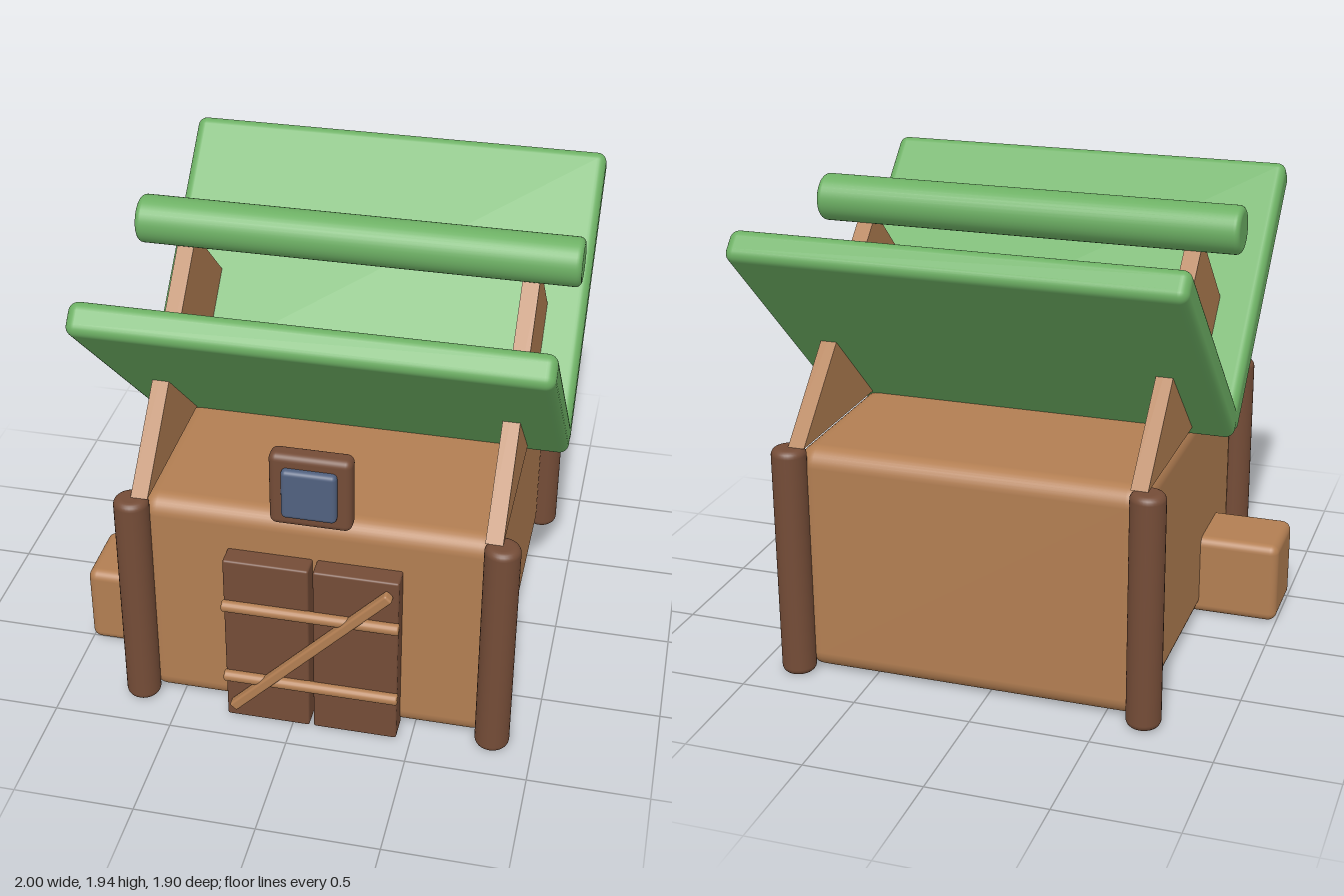
import * as THREE from 'three';
import { RoundedBoxGeometry } from 'three/addons/geometries/RoundedBoxGeometry.js';

const material = (name, color) => {
  const m = new THREE.MeshStandardMaterial({ color });
  m.name = name;
  return m;
};

// Cylinder along y with softly rounded rims
function rodGeometry(radius, length, bevel, sides = 32) {
  const pts = [new THREE.Vector2(0, -length / 2), new THREE.Vector2((radius - bevel) * 0.95, -length / 2)];
  for (const end of [-1, 1]) {
    for (let i = 0; i <= 5; i++) {
      const a = (end < 0 ? i - 5 : i) / 5 * Math.PI / 2;
      pts.push(new THREE.Vector2(
        radius - bevel + bevel * Math.cos(a),
        end * (length / 2 - bevel) + bevel * Math.sin(a)));
    }
  }
  pts.push(new THREE.Vector2((radius - bevel) * 0.95, length / 2), new THREE.Vector2(0, length / 2));
  return new THREE.LatheGeometry(pts, sides);
}

export function createModel() {
  const model = new THREE.Group();
  model.name = 'barn';
  const tan = material('tan wood', 0xb27e52);
  const brown = material('dark wood', 0x744c37);
  const green = material('green roof', 0x6db064);
  const blue = material('window blue', 0x51617f);
  const CX = 0.08; // the house sits a little to its left of the side crate

  const add = (name, geometry, mat, x, y, z) => {
    const mesh = new THREE.Mesh(geometry, mat);
    mesh.name = name;
    mesh.position.set(x, y, z);
    model.add(mesh);
    return mesh;
  };
  // Rounded box given by its lower and upper limits
  const block = (name, mat, [x0, x1], [y0, y1], [z0, z1], r) =>
    add(name, new RoundedBoxGeometry(x1 - x0, y1 - y0, z1 - z0, 4, r), mat,
      (x0 + x1) / 2, (y0 + y1) / 2, (z0 + z1) / 2);

  // Walls and side crate
  block('walls', tan, [-0.655, 0.815], [0.005, 1.0], [-0.795, 0.795], 0.08);
  block('sideCrate', tan, [-1, -0.6], [0.005, 0.37], [0.2, 0.53], 0.04);

  // Corner posts
  const post = rodGeometry(0.072, 1.01, 0.03);
  for (const x of [-0.75, 0.75])
    for (const z of [-0.807, 0.807]) add('cornerPost', post, brown, CX + x, 0.505, z);

  // Triangular gable plates at both ends
  const triangle = new THREE.Shape([
    new THREE.Vector2(-0.81, 1.01), new THREE.Vector2(0.81, 1.01), new THREE.Vector2(0, 1.785)]);
  const gable = new THREE.ExtrudeGeometry(triangle, { depth: 0.07, bevelEnabled: false });
  gable.rotateY(Math.PI / 2);
  add('rightGable', gable, tan, -0.67, 0, 0);
  add('leftGable', gable, tan, 0.76, 0, 0);

  // Roof panels opening upward in a V, and the ridge log
  const panel = new RoundedBoxGeometry(1.83, 0.135, 1.294, 4, 0.04);
  for (const s of [1, -1]) {
    const p = add(s > 0 ? 'frontRoofPanel' : 'backRoofPanel', panel, green, CX, 1.4375, s * 0.451);
    p.rotation.x = -s * THREE.MathUtils.degToRad(43.5);
  }
  const ridge = add('ridgeLog', rodGeometry(0.1, 1.83, 0.025, 40), green, CX, 1.84, 0);
  ridge.rotation.z = Math.PI / 2;

  // Window standing on the front edge
  block('windowFrame', brown, [-0.085, 0.245], [1.015, 1.343], [0.785, 0.872], 0.03);
  block('windowPane', blue, [-0.03, 0.19], [1.07, 1.29], [0.84, 0.902], 0.02);

  // Double door with cross bars and a diagonal brace
  block('rightDoor', brown, [-0.28, 0.072], [0.005, 0.81], [0.77, 0.88], 0.01);
  block('leftDoor', brown, [0.09, 0.44], [0.005, 0.81], [0.77, 0.88], 0.01);
  const bar = rodGeometry(0.025, 0.73, 0.008, 20);
  for (const y of [0.225, 0.59])
    add('doorBar', bar, tan, CX, y, 0.888).rotation.z = Math.PI / 2;
  const brace = add('doorBrace', new RoundedBoxGeometry(0.945, 0.042, 0.045, 3, 0.01), tan, CX, 0.42, 0.901);
  brace.rotation.z = Math.atan2(0.69, 0.66);

  return model;
}
